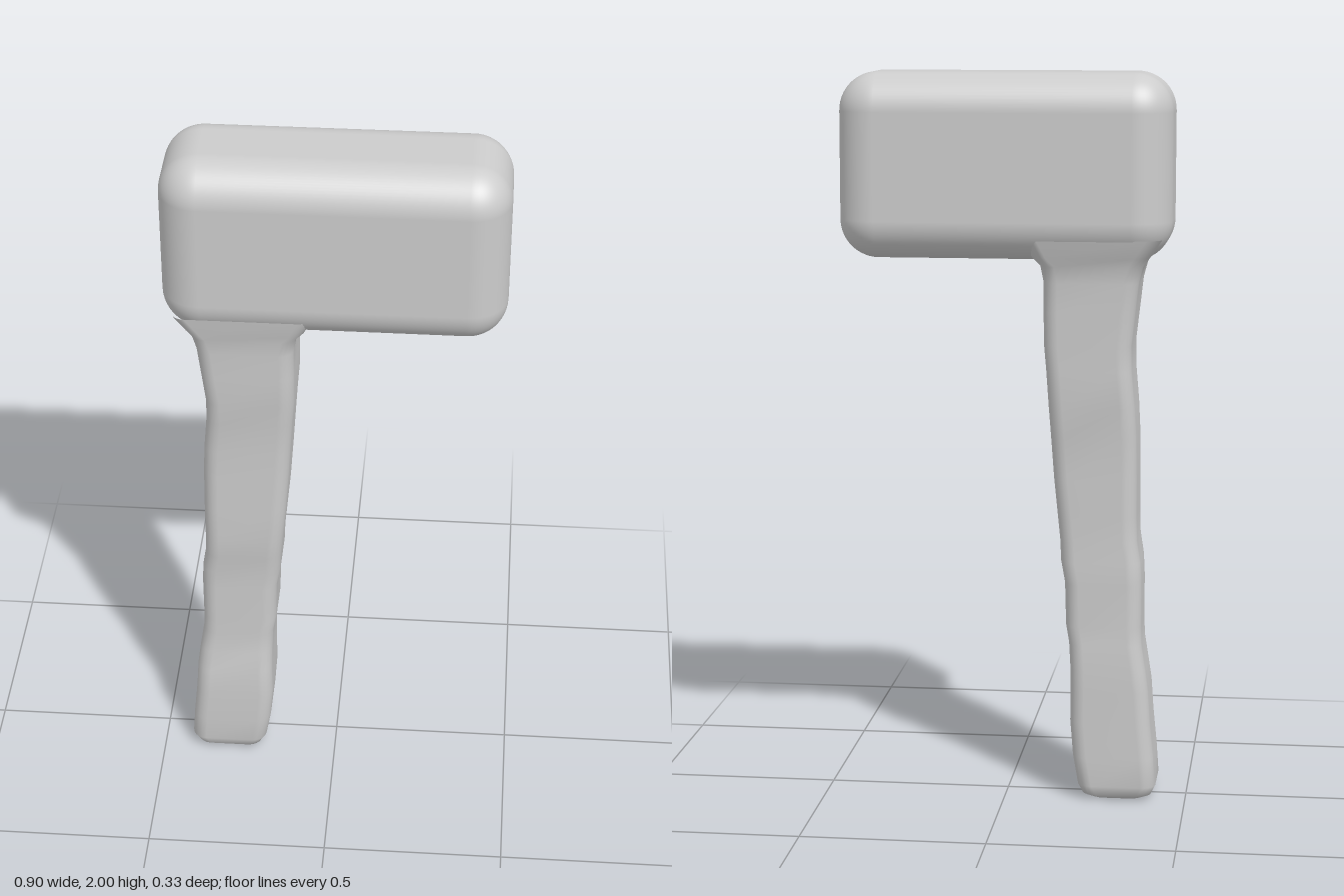
import * as THREE from 'three';
import { RoundedBoxGeometry } from 'three/addons/geometries/RoundedBoxGeometry.js';

const CORNER_STEPS = 5;

// Handle cross-sections from bottom to top: y, left x, right x, back z, front z
const SECTIONS = [
  [0.0, -0.385, -0.235, -0.070, 0.090],
  [0.012, -0.405, -0.215, -0.090, 0.108],
  [0.04, -0.418, -0.202, -0.100, 0.118],
  [0.12, -0.412, -0.188, -0.101, 0.121],
  [0.22, -0.402, -0.180, -0.101, 0.121],
  [0.31, -0.396, -0.181, -0.102, 0.118],
  [0.37, -0.388, -0.180, -0.102, 0.106],
  [0.44, -0.377, -0.176, -0.100, 0.105],
  [0.49, -0.375, -0.167, -0.096, 0.105],
  [0.61, -0.375, -0.164, -0.099, 0.106],
  [0.67, -0.372, -0.153, -0.098, 0.107],
  [0.73, -0.362, -0.150, -0.096, 0.114],
  [0.80, -0.360, -0.143, -0.097, 0.121],
  [0.90, -0.360, -0.133, -0.099, 0.120],
  [1.02, -0.358, -0.124, -0.101, 0.120],
  [1.10, -0.354, -0.119, -0.114, 0.120],
  [1.20, -0.345, -0.112, -0.115, 0.124],
  [1.27, -0.344, -0.106, -0.116, 0.134],
  [1.36, -0.354, -0.105, -0.119, 0.137],
  [1.44, -0.363, -0.105, -0.121, 0.139],
  [1.485, -0.375, -0.097, -0.128, 0.143],
  [1.51, -0.392, -0.075, -0.140, 0.150],
  [1.56, -0.426, -0.05, -0.155, 0.158],
];

// Loft rounded rectangles through the sections and close the bottom
function handleGeometry() {
  const positions = [], index = [];
  const ring = 4 * (CORNER_STEPS + 1);
  SECTIONS.forEach(([y, x0, x1, z0, z1]) => {
    const r = 0.04;
    const corners = [[x1 - r, z1 - r], [x0 + r, z1 - r], [x0 + r, z0 + r], [x1 - r, z0 + r]];
    corners.forEach(([cx, cz], c) => {
      for (let s = 0; s <= CORNER_STEPS; s++) {
        const a = (c + s / CORNER_STEPS) * Math.PI / 2;
        positions.push(cx + r * Math.cos(a), y, cz + r * Math.sin(a));
      }
    });
  });
  for (let j = 0; j < SECTIONS.length - 1; j++) {
    for (let i = 0; i < ring; i++) {
      const a = j * ring + i, b = j * ring + (i + 1) % ring;
      index.push(a, a + ring, b, b, a + ring, b + ring);
    }
  }
  const center = positions.length / 3;
  positions.push(-0.31, 0, 0.01);
  for (let i = 0; i < ring; i++) index.push(center, i, (i + 1) % ring);
  const geometry = new THREE.BufferGeometry();
  geometry.setAttribute('position', new THREE.Float32BufferAttribute(positions, 3));
  geometry.setIndex(index);
  geometry.computeVertexNormals();
  return geometry;
}

export function createModel() {
  const group = new THREE.Group();
  group.name = 'mallet';
  const grey = new THREE.MeshStandardMaterial({ color: 0xcccccc });
  grey.name = 'plain grey';

  // Soft-edged block head
  const head = new THREE.Mesh(new RoundedBoxGeometry(0.9, 0.5, 0.332, 8, 0.105), grey);
  head.name = 'head';
  head.position.set(0, 1.75, 0);

  // Uneven carved handle, flaring into the head
  const handle = new THREE.Mesh(handleGeometry(), grey);
  handle.name = 'handle';

  group.add(head, handle);
  return group;
}
